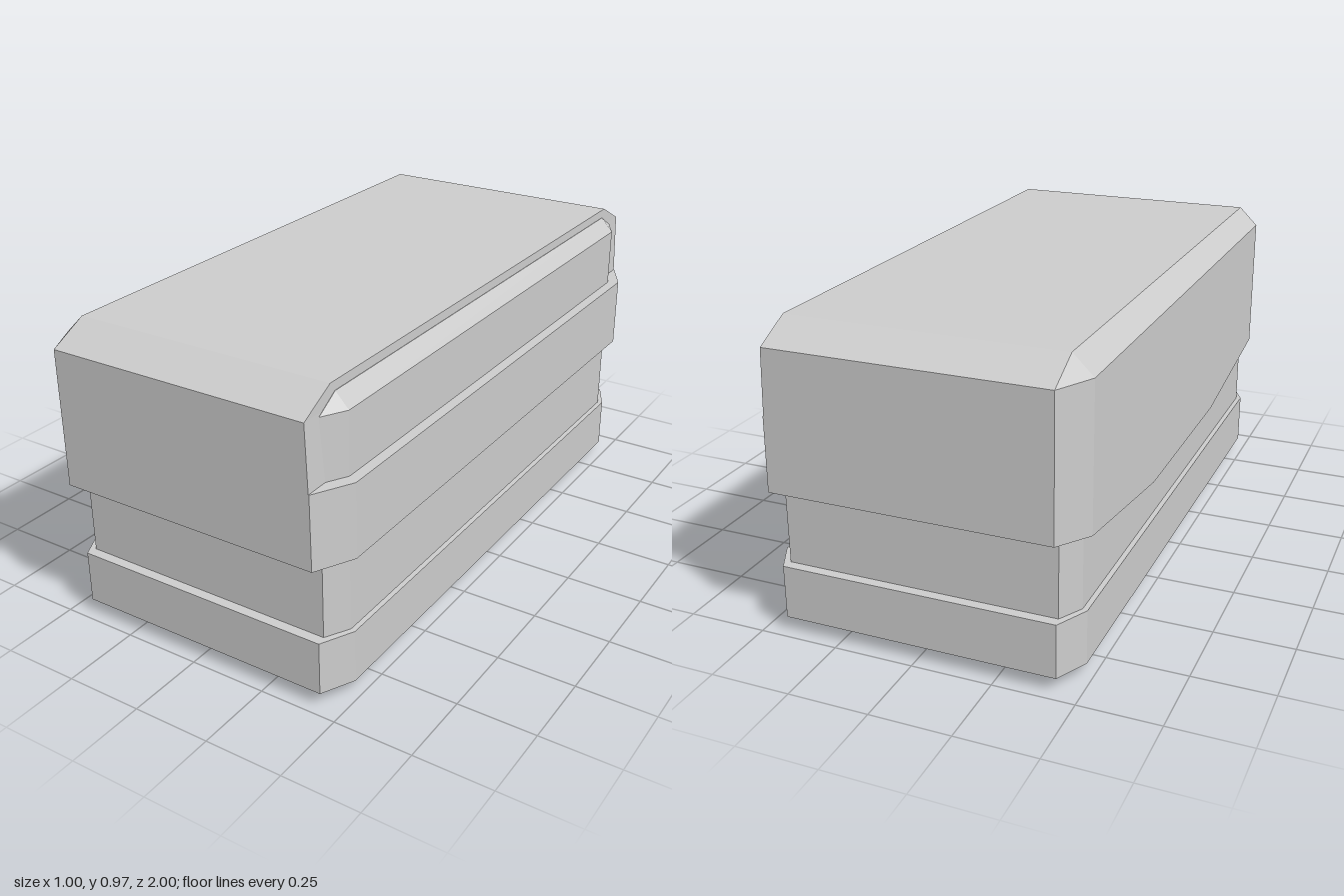
import * as THREE from 'three';

const material = new THREE.MeshStandardMaterial({ color: 0xcccccc, flatShading: true });

// Skin a stack of rings (bottom to top, each counter-clockwise from above) and close both ends.
function loft(name, rings) {
  const pos = [];
  const tri = (a, b, c) => pos.push(...a, ...b, ...c);
  const n = rings[0].length;
  for (let r = 0; r < rings.length - 1; r++) {
    const lo = rings[r], hi = rings[r + 1];
    for (let i = 0; i < n; i++) {
      const j = (i + 1) % n;
      tri(lo[i], lo[j], hi[j]);
      tri(lo[i], hi[j], hi[i]);
    }
  }
  const first = rings[0], last = rings[rings.length - 1];
  for (let i = 1; i < n - 1; i++) {
    tri(first[0], first[i + 1], first[i]);
    tri(last[0], last[i], last[i + 1]);
  }
  const geometry = new THREE.BufferGeometry();
  geometry.setAttribute('position', new THREE.Float32BufferAttribute(pos, 3));
  geometry.computeVertexNormals();
  const mesh = new THREE.Mesh(geometry, material);
  mesh.name = name;
  return mesh;
}

// Rectangle with cut corners: outer half sizes w, d; flat faces end at cw, cd.
const octagon = (y, w, d, cw, cd) => [
  [w, y, cd], [w, y, -cd], [cw, y, -d], [-cw, y, -d],
  [-w, y, -cd], [-w, y, cd], [-cw, y, d], [cw, y, d],
];

// Ring of the lid: right and left sides differ, the left edge can dip to y = sag in its middle.
const lidRing = (y, right, cutRight, left, cutLeft, d, cd, corner = y, sag = y) => [
  [right, y, cd], [right, y, -cd], [cutRight, y, -d], [-cutLeft, y, -d],
  [-left, corner, -cd], [-left, sag, -0.33], [-left, sag, 0.33], [-left, corner, cd],
  [-cutLeft, y, d], [cutRight, y, d],
];

export function createModel() {
  const group = new THREE.Group();
  group.name = 'crate';

  // Inner box with bevelled top and bottom
  group.add(loft('body', [
    octagon(0, 0.425, 0.86, 0.425, 0.86),
    octagon(0.045, 0.467, 0.935, 0.425, 0.86),
    octagon(0.895, 0.467, 0.935, 0.425, 0.86),
    octagon(0.94, 0.425, 0.86, 0.425, 0.86),
  ]));

  // Raised band around the foot
  group.add(loft('baseBand', [
    octagon(0.045, 0.483, 0.967, 0.431, 0.865),
    octagon(0.215, 0.483, 0.967, 0.431, 0.865),
  ]));

  // Lid: lip on the right, dipped skirt on the left, bevelled top
  group.add(loft('lid', [
    lidRing(0.47, 0.42, 0.4, 0.42, 0.4, 0.9, 0.84, 0.47, 0.3),
    lidRing(0.468, 0.5, 0.437, 0.5, 0.437, 1, 0.88, 0.456, 0.375),
    lidRing(0.702, 0.5, 0.434, 0.5, 0.437, 1, 0.88),
    lidRing(0.702, 0.432, 0.432, 0.5, 0.437, 1, 0.88),
    lidRing(0.906, 0.424, 0.424, 0.5, 0.437, 1, 0.88),
    lidRing(0.968, 0.423, 0.423, 0.437, 0.437, 0.88, 0.88),
  ]));

  return group;
}
